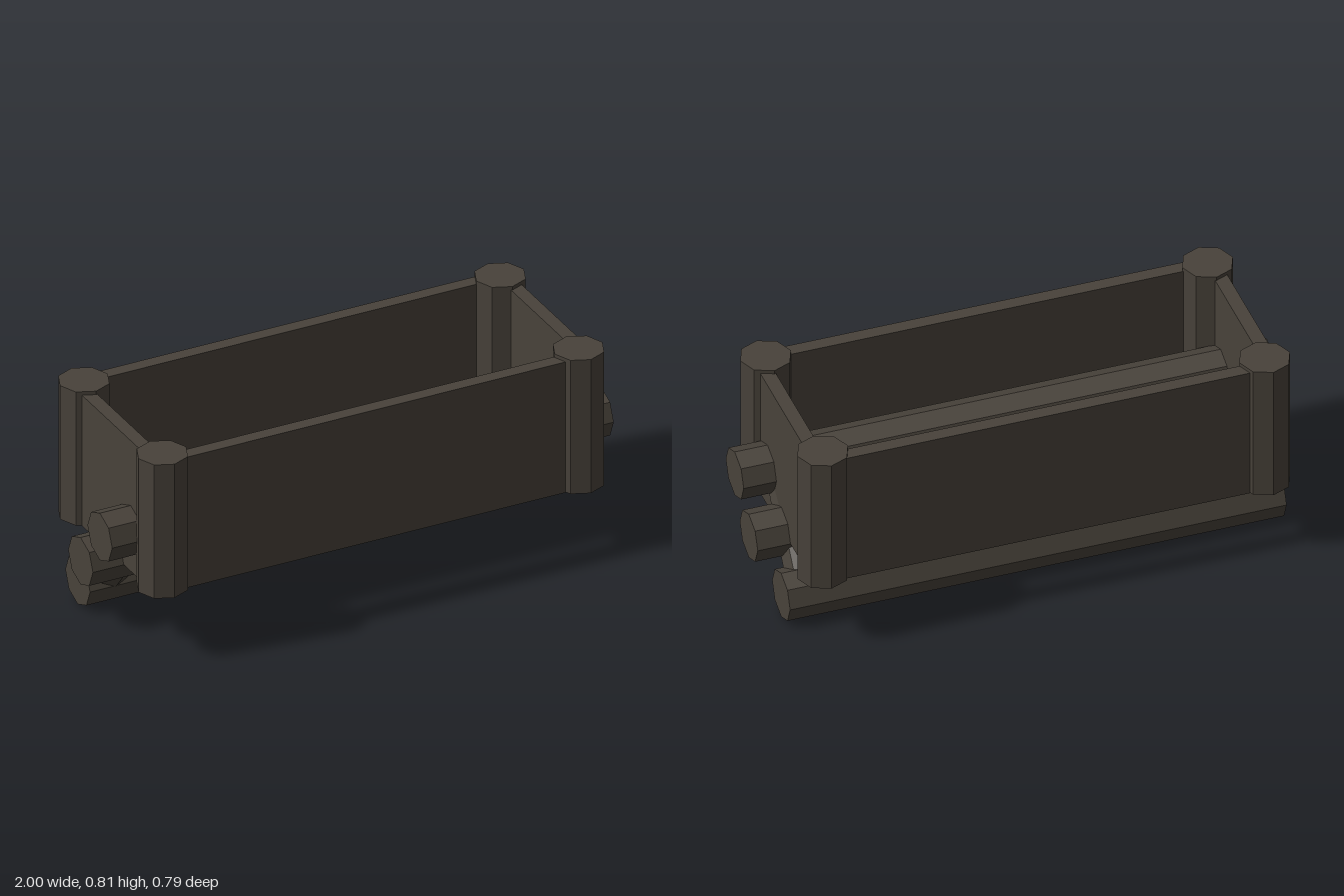
import * as THREE from 'three';

export function createModel() {
  const model = new THREE.Group();
  const wood = new THREE.MeshStandardMaterial({ color: 0x48423a, flatShading: true, side: THREE.DoubleSide });
  wood.name = 'dark wood';

  const add = (name, geometry, x, y, z) => {
    const mesh = new THREE.Mesh(geometry, wood);
    mesh.name = name;
    mesh.position.set(x, y, z);
    model.add(mesh);
    return mesh;
  };

  // Eight-sided corner posts, closed on top and open underneath
  const postProfile = [[0.095, 0], [0.095, 0.54], [0, 0.54]].map(([r, y]) => new THREE.Vector2(r, y));
  for (const x of [-0.83, 0.83]) {
    for (const z of [-0.302, 0.3]) add('cornerPost', new THREE.LatheGeometry(postProfile, 8), x, 0.27, z);
  }

  // Plank walls of the bottomless trough
  const wallHeight = 0.528, wallY = 0.268 + wallHeight / 2;
  add('frontWall', new THREE.BoxGeometry(1.6, wallHeight, 0.052), 0, wallY, 0.321);
  add('backWall', new THREE.BoxGeometry(1.6, wallHeight, 0.052), 0, wallY, -0.329);
  for (const side of [-1, 1]) {
    add('endWall', new THREE.BoxGeometry(0.052, wallHeight, 0.45), side * 0.851, wallY, 0);
  }

  // Three logs lying along x, stepping down toward the back
  for (const [name, y, z, length] of [
    ['upperLog', 0.439, 0.148, 2],
    ['middleLog', 0.268, 0, 2],
    ['lowerLog', 0.097, -0.152, 1.865],
  ]) {
    add(name, new THREE.CylinderGeometry(0.095, 0.095, length, 8), 0, y, z).rotation.z = Math.PI / 2;
  }

  // Tapered slanting braces that join the logs
  const top = new THREE.Vector3(0, 0.433, 0.153);
  const bottom = new THREE.Vector3(0, 0.097, -0.152);
  const along = top.clone().sub(bottom);
  for (const side of [-1, 1]) {
    const brace = add('slantedBrace', new THREE.CylinderGeometry(0.057, 0.076, along.length(), 8),
      side * 0.83, (top.y + bottom.y) / 2, (top.z + bottom.z) / 2);
    brace.rotation.x = Math.atan2(along.z, along.y);
  }

  return model;
}
